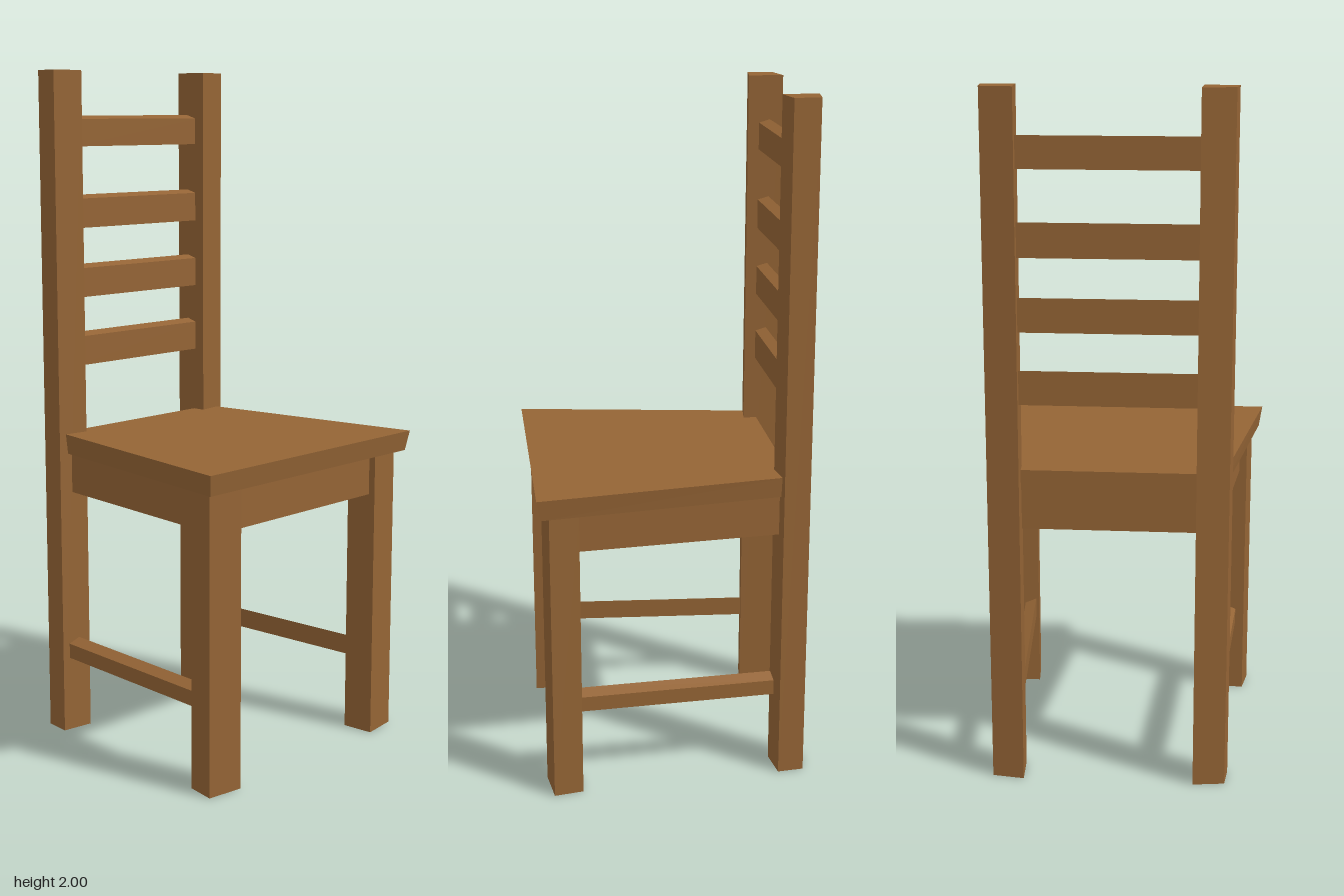
import * as THREE from 'three';

const wood = new THREE.MeshStandardMaterial({ color: 0x946435 });
wood.name = 'brown wood';

// Six-sided solid between two quads; corners run front-left, front-right, back-right, back-left (as [x, y, z])
function solid(name, bottom, top) {
  const pos = [];
  const quad = (a, b, c, d) => [a, b, c, a, c, d].forEach((p) => pos.push(...p));
  quad(...top);
  quad(...[...bottom].reverse());
  for (let i = 0; i < 4; i++) {
    const j = (i + 1) % 4;
    quad(bottom[i], bottom[j], top[j], top[i]);
  }
  const geo = new THREE.BufferGeometry();
  geo.setAttribute('position', new THREE.Float32BufferAttribute(pos, 3));
  geo.computeVertexNormals();
  const mesh = new THREE.Mesh(geo, wood);
  mesh.name = name;
  return mesh;
}

// Upright prism from a plan of [x, z] corners
const prism = (name, plan, y0, y1) =>
  solid(name, plan.map(([x, z]) => [x, y0, z]), plan.map(([x, z]) => [x, y1, z]));

// Mirror a plan across x = 0, keeping the corner order
const mirrorPlan = (plan) => [1, 0, 3, 2].map((i) => [-plan[i][0], plan[i][1]]);

export function createModel() {
  const chair = new THREE.Group();
  chair.name = 'chair';

  // Legs and tall back posts, turned to follow the tapering seat
  const frontPlan = [[0.293, 0.38], [0.403, 0.365], [0.388, 0.28], [0.285, 0.285]];
  const postPlan = [[0.253, -0.297], [0.348, -0.31], [0.34, -0.387], [0.248, -0.4]];
  for (const [plan, name, height] of [[frontPlan, 'FrontLeg', 0.87], [postPlan, 'BackPost', 2]]) {
    chair.add(prism('left' + name, plan, 0, height));
    chair.add(prism('right' + name, mirrorPlan(plan), 0, height));
  }

  // Seat with undercut edges
  chair.add(solid('seat',
    [[-0.425, 0.87, 0.39], [0.425, 0.87, 0.39], [0.315, 0.87, -0.337], [-0.315, 0.87, -0.337]],
    [[-0.435, 0.93, 0.4], [0.435, 0.93, 0.4], [0.322, 0.93, -0.337], [-0.322, 0.93, -0.337]]));

  // Solid apron block under the seat
  chair.add(prism('apron', [[-0.374, 0.36], [0.374, 0.36], [0.305, -0.322], [-0.305, -0.322]], 0.75, 0.87));

  // Back slats with forward-sloping tops
  [[1.78, 1.87], [1.54, 1.637], [1.333, 1.43], [1.127, 1.225]].forEach(([y0, y1], i) => {
    const w = 0.26, zf = -0.33, zb = -0.362;
    chair.add(solid('backSlat' + (i + 1),
      [[-w, y0, zf], [w, y0, zf], [w, y0, zb], [-w, y0, zb]],
      [[-w, y1 - 0.01, zf], [w, y1 - 0.01, zf], [w, y1, zb], [-w, y1, zb]]));
  });

  // Side stretchers with outward-sloping tops; x given at the front and back ends
  const stretcher = (name, f0, f1, b0, b1, h0, h1) => {
    const plan = [[f0, 0.3], [f1, 0.3], [b1, -0.315], [b0, -0.315]];
    const heights = [h0, h1, h1, h0];
    chair.add(solid(name, plan.map(([x, z]) => [x, 0.23, z]), plan.map(([x, z], i) => [x, heights[i], z])));
  };
  stretcher('leftStretcher', 0.295, 0.33, 0.255, 0.289, 0.29, 0.275);
  stretcher('rightStretcher', -0.363, -0.328, -0.325, -0.29, 0.275, 0.29);

  return chair;
}
